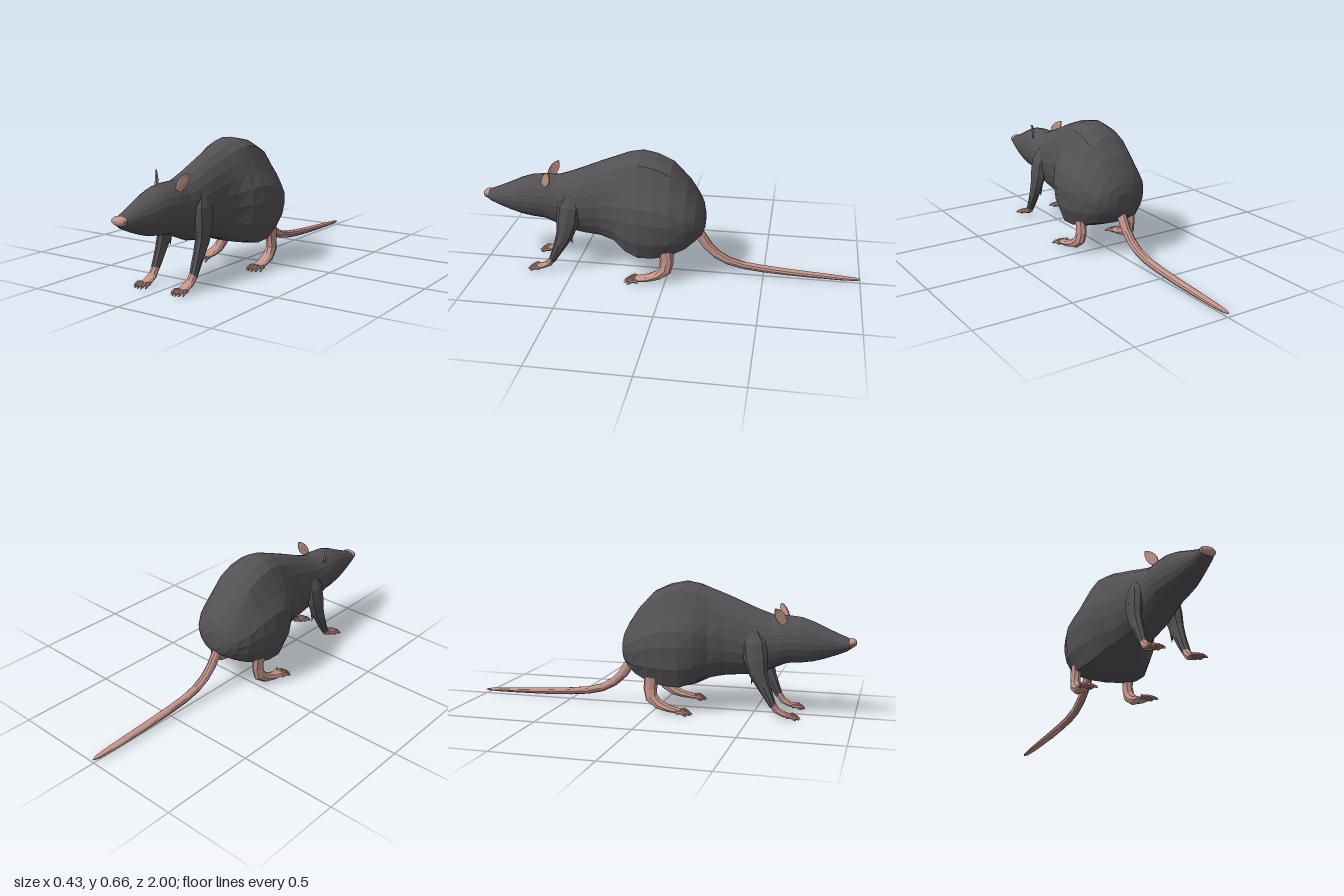
import * as THREE from 'three';

const fur = new THREE.MeshStandardMaterial({ name: 'charcoalFur', color: 0x545155, flatShading: true });
const skin = new THREE.MeshStandardMaterial({ name: 'pinkSkin', color: 0xc3958b, flatShading: true });

// Skin a list of rings (arrays of Vector3) and close both ends
function loft(rings) {
  const n = rings[0].length, pos = [], idx = [];
  rings.forEach(r => r.forEach(p => pos.push(p.x, p.y, p.z)));
  for (let i = 0; i < rings.length - 1; i++) {
    for (let j = 0; j < n; j++) {
      const a = i * n + j, b = i * n + (j + 1) % n;
      idx.push(a, b, a + n, b, b + n, a + n);
    }
  }
  const last = (rings.length - 1) * n;
  for (let j = 1; j < n - 1; j++) {
    idx.push(0, j + 1, j);
    idx.push(last, last + j, last + j + 1);
  }
  const g = new THREE.BufferGeometry();
  g.setAttribute('position', new THREE.Float32BufferAttribute(pos, 3));
  g.setIndex(idx);
  g.computeVertexNormals();
  return g;
}

// Tapered limb through rows of [x, y, z, radius across, radius in the side plane]
function limb(rows, sides = 8) {
  const pts = rows.map(r => new THREE.Vector3(r[0], r[1], r[2]));
  const X = new THREE.Vector3(1, 0, 0);
  return loft(rows.map((r, i) => {
    const t = pts[Math.min(i + 1, pts.length - 1)].clone().sub(pts[Math.max(i - 1, 0)]);
    t.x = 0;
    const v = t.normalize().cross(X);
    return Array.from({ length: sides }, (_, j) => {
      const a = (j / sides) * Math.PI * 2;
      return pts[i].clone().addScaledVector(X, Math.cos(a) * r[3]).addScaledVector(v, Math.sin(a) * r[4]);
    });
  }));
}

function add(parent, name, geometry, material) {
  const m = new THREE.Mesh(geometry, material);
  m.name = name;
  parent.add(m);
  return m;
}

// Half section of the haunches: [share of half width, share of half height]
const PEAR = [[0, -1], [0.4, -1], [0.78, -0.96], [0.96, -0.6], [1, -0.17], [0.94, 0.13],
  [0.74, 0.42], [0.62, 0.62], [0.48, 0.86], [0.24, 0.98], [0, 1]];

// Rump to muzzle: [z, top, bottom, half width, how pear shaped]
const BODY = [
  [-0.188, 0.36, 0.27, 0.05, 0], [-0.175, 0.41, 0.235, 0.1, 0.1], [-0.15, 0.455, 0.215, 0.14, 0.3],
  [-0.1, 0.53, 0.18, 0.177, 0.6], [-0.02, 0.615, 0.153, 0.203, 0.9], [0.06, 0.652, 0.14, 0.211, 1],
  [0.14, 0.668, 0.136, 0.209, 1], [0.21, 0.657, 0.15, 0.188, 0.8], [0.28, 0.633, 0.178, 0.148, 0.4],
  [0.36, 0.604, 0.193, 0.126, 0.1], [0.45, 0.566, 0.2, 0.117, 0], [0.52, 0.537, 0.212, 0.11, 0],
  [0.59, 0.513, 0.24, 0.102, 0], [0.66, 0.512, 0.27, 0.1, 0], [0.73, 0.505, 0.276, 0.094, 0],
  [0.79, 0.485, 0.285, 0.083, 0], [0.85, 0.457, 0.303, 0.068, 0], [0.91, 0.43, 0.325, 0.053, 0],
  [0.955, 0.412, 0.345, 0.042, 0], [0.978, 0.4, 0.362, 0.034, 0],
];

function bodyGeometry() {
  const h = PEAR.length - 1;
  return loft(BODY.map(([z, top, bottom, w, pear]) => Array.from({ length: 2 * h }, (_, j) => {
    const k = j <= h ? j : 2 * h - j, side = j <= h ? 1 : -1;
    const a = (k / h) * Math.PI;
    const x = THREE.MathUtils.lerp(Math.sin(a), PEAR[k][0], pear);
    const t = THREE.MathUtils.lerp(-Math.cos(a), PEAR[k][1], pear);
    return new THREE.Vector3(side * x * w, (top + bottom) / 2 + t * (top - bottom) / 2, z);
  })));
}

// Toes fanning out from a paw, each ending in a thin claw
function addToes(parent, s, x, y, z, spread, length) {
  for (let i = 0; i < 5; i++) {
    const f = (i - 2) / 2, reach = length * (1 - 0.3 * f * f);
    const x0 = s * (x + f * spread * 0.7), x1 = s * (x + f * spread);
    add(parent, 'toe', limb([
      [x0, y, z - 0.01, 0.007, 0.009],
      [x0 * 0.5 + x1 * 0.5, y + 0.004, z + reach * 0.35, 0.008, 0.009],
      [x1, 0.02, z + reach * 0.7, 0.006, 0.007],
      [x1, 0.011, z + reach, 0.001, 0.001],
    ], 6), skin);
  }
}

function earGeometry(s) {
  const leaf = new THREE.Shape();
  leaf.moveTo(-0.01, 0);
  leaf.bezierCurveTo(-0.035, 0.03, -0.03, 0.075, 0.002, 0.1);
  leaf.bezierCurveTo(0.026, 0.08, 0.034, 0.035, 0.01, 0);
  const g = new THREE.ExtrudeGeometry(leaf, { depth: 0.008, bevelEnabled: false, curveSegments: 6 });
  g.translate(0, 0, -0.004);
  // Cup the leaf slightly
  const p = g.attributes.position;
  for (let i = 0; i < p.count; i++) p.setZ(i, p.getZ(i) + 8 * p.getX(i) ** 2);
  const up = new THREE.Vector3(0.032 * s, 0.085, -0.045).normalize();
  const across = new THREE.Vector3(-0.5 * s, 0, 0.85);
  across.addScaledVector(up, -across.dot(up)).normalize();
  if (s < 0) across.negate();
  const out = across.clone().cross(up);
  g.applyMatrix4(new THREE.Matrix4().makeBasis(across, up, out).setPosition(0.064 * s, 0.473, 0.655));
  g.computeVertexNormals();
  return g;
}

export function createModel() {
  const model = new THREE.Group();
  model.name = 'rat';
  add(model, 'bodyAndHead', bodyGeometry(), fur);

  const nose = add(model, 'nose', new THREE.SphereGeometry(1, 12, 8), skin);
  nose.scale.set(0.042, 0.023, 0.025);
  nose.position.set(0, 0.387, 0.975);

  // Tail sweeps down from the rump, then runs back near the ground
  add(model, 'tail', limb([
    [0, 0.26, -0.13, 0.024, 0.03], [0, 0.22, -0.168, 0.023, 0.028], [0, 0.165, -0.205, 0.022, 0.026],
    [0, 0.118, -0.255, 0.022, 0.024], [0, 0.083, -0.32, 0.021, 0.022], [0, 0.063, -0.4, 0.021, 0.02],
    [0, 0.052, -0.5, 0.021, 0.019], [0, 0.044, -0.62, 0.022, 0.017], [0, 0.038, -0.76, 0.021, 0.014],
    [0, 0.033, -0.9, 0.019, 0.01], [0, 0.031, -0.975, 0.014, 0.007], [0, 0.03, -1, 0.005, 0.003],
  ], 10), skin);

  for (const s of [1, -1]) {
    const side = s > 0 ? 'left' : 'right';
    add(model, side + 'Ear', earGeometry(s), skin);

    // Front leg with an elbow tuft and a paw
    const front = new THREE.Group();
    front.name = side + 'FrontLeg';
    model.add(front);
    add(front, 'upperLeg', limb([
      [0.085 * s, 0.44, 0.5, 0.02, 0.03], [0.1 * s, 0.38, 0.51, 0.032, 0.06],
      [0.108 * s, 0.3, 0.52, 0.032, 0.06], [0.113 * s, 0.23, 0.535, 0.027, 0.046],
      [0.113 * s, 0.17, 0.562, 0.024, 0.034], [0.113 * s, 0.11, 0.592, 0.023, 0.024],
      [0.115 * s, 0.07, 0.612, 0.021, 0.018],
    ]), fur);
    const tuft = add(front, 'elbowTuft', new THREE.ConeGeometry(0.018, 0.07, 5), fur);
    tuft.position.set(0.105 * s, 0.205, 0.505);
    tuft.rotation.x = Math.PI + 0.15;
    add(front, 'paw', limb([
      [0.114 * s, 0.085, 0.605, 0.021, 0.018], [0.112 * s, 0.05, 0.63, 0.023, 0.018],
      [0.11 * s, 0.032, 0.665, 0.028, 0.013], [0.11 * s, 0.025, 0.695, 0.026, 0.009],
    ]), skin);
    addToes(front, s, 0.11, 0.024, 0.69, 0.034, 0.057);

    // Bare hind foot below the haunch
    const hind = new THREE.Group();
    hind.name = side + 'HindLeg';
    model.add(hind);
    add(hind, 'foot', limb([
      [0.15 * s, 0.19, -0.005, 0.024, 0.036], [0.15 * s, 0.13, -0.01, 0.023, 0.036],
      [0.154 * s, 0.085, -0.002, 0.025, 0.034], [0.158 * s, 0.053, 0.035, 0.029, 0.026],
      [0.163 * s, 0.035, 0.09, 0.032, 0.017], [0.167 * s, 0.026, 0.15, 0.032, 0.011],
    ]), skin);
    addToes(hind, s, 0.169, 0.025, 0.145, 0.04, 0.07);
  }
  return model;
}
